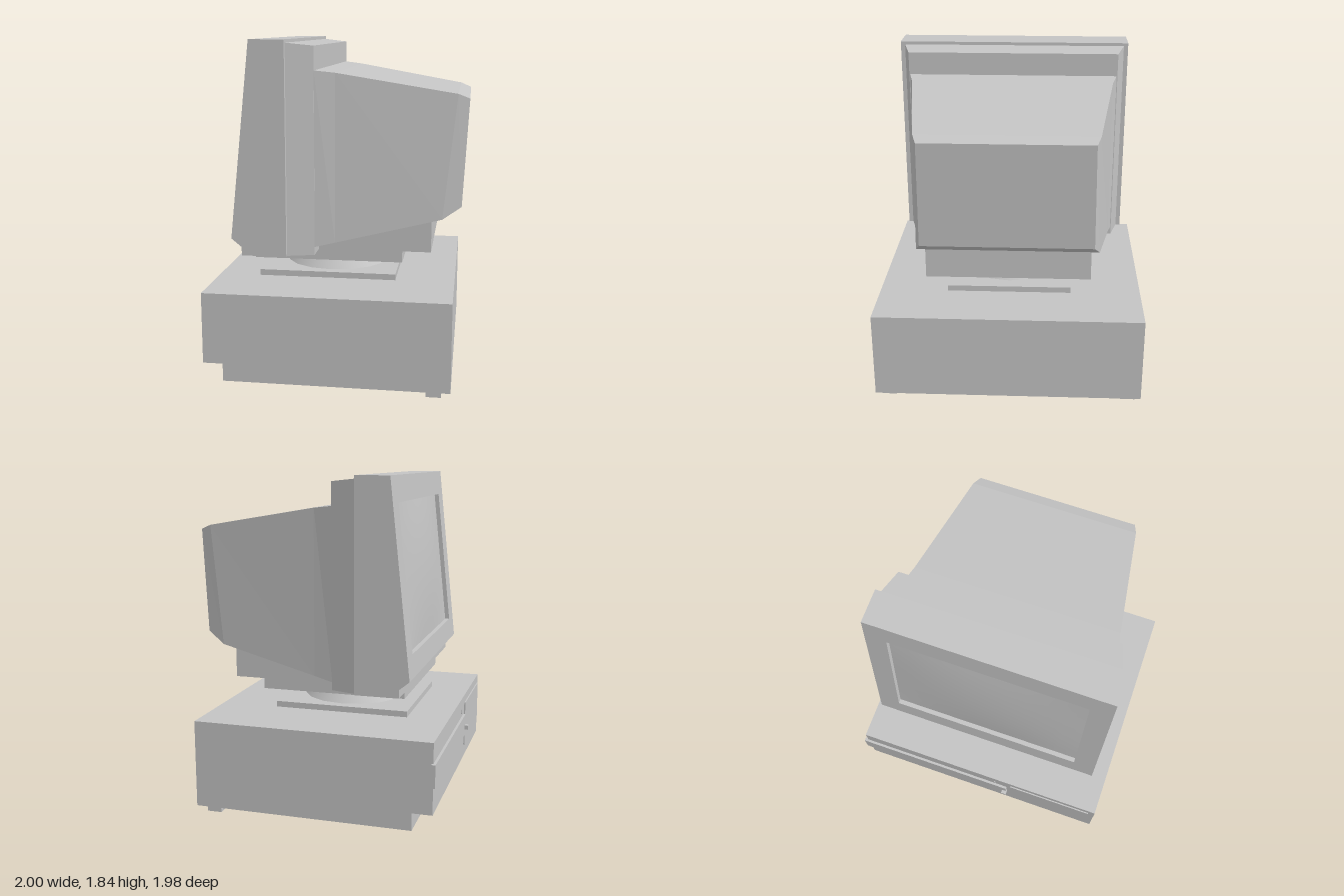
import * as THREE from 'three';

const casing = new THREE.MeshStandardMaterial({ color: 0xc4c4c4, side: THREE.DoubleSide });
casing.name = 'grey plastic';

const LEAN = 0.1063;   // how far the monitor face leans back per unit of height
const FACE_Z = 0.5;    // front of the monitor face at its lower edge
const FACE_Y = 0.8;

function add(parent, name, geometry) {
  const mesh = new THREE.Mesh(geometry, casing);
  mesh.name = name;
  parent.add(mesh);
  return mesh;
}

// Box given by its minimum and maximum corners
function box(parent, name, [x0, y0, z0], [x1, y1, z1]) {
  const mesh = add(parent, name, new THREE.BoxGeometry(x1 - x0, y1 - y0, z1 - z0));
  mesh.position.set((x0 + x1) / 2, (y0 + y1) / 2, (z0 + z1) / 2);
  return mesh;
}

// Side profile of [z, y] points, extruded across the width
function sideProfile(points, width) {
  const shape = new THREE.Shape(points.map(([z, y]) => new THREE.Vector2(z, y)));
  const g = new THREE.ExtrudeGeometry(shape, { depth: width, bevelEnabled: false });
  return g.translate(0, 0, -width / 2).rotateY(-Math.PI / 2);
}

// Four-cornered sections from front to back, closed at the rear.
// Each section: top [half width, y, z], bottom [half width, y, z]
function loft(sections) {
  const pos = [], idx = [];
  for (const [[tw, ty, tz], [bw, by, bz]] of sections) {
    pos.push(-tw, ty, tz, tw, ty, tz, bw, by, bz, -bw, by, bz);
  }
  const n = sections.length;
  for (let r = 0; r < n - 1; r++) {
    for (let i = 0; i < 4; i++) {
      const a = r * 4 + i, b = r * 4 + (i + 1) % 4;
      idx.push(a, b, b + 4, a, b + 4, a + 4);
    }
  }
  const e = (n - 1) * 4;
  idx.push(e, e + 1, e + 2, e, e + 2, e + 3);
  const g = new THREE.BufferGeometry();
  g.setAttribute('position', new THREE.Float32BufferAttribute(pos, 3));
  g.setIndex(idx);
  const flat = g.toNonIndexed();
  flat.computeVertexNormals();
  return flat;
}

// Move a geometry onto the leaning monitor face
function leanBack(g) {
  const p = g.attributes.position;
  for (let i = 0; i < p.count; i++) {
    p.setZ(i, p.getZ(i) + FACE_Z - LEAN * (p.getY(i) - FACE_Y));
  }
  g.computeVertexNormals();
  return g;
}

function createComputer() {
  const unit = new THREE.Group();
  unit.name = 'computerUnit';
  unit.rotation.y = THREE.MathUtils.degToRad(-47);
  unit.position.z = -0.005;

  // Case with a recessed plinth along the front
  const caseGroup = new THREE.Group();
  caseGroup.name = 'computerCase';
  unit.add(caseGroup);
  add(caseGroup, 'caseBody', sideProfile([
    [-0.67, 0.037], [0.54, 0.037], [0.54, 0.133], [0.648, 0.133], [0.648, 0.52], [-0.67, 0.52],
  ], 1.482));
  box(caseGroup, 'driveBand', [-0.76, 0.285, 0.64], [0.18, 0.41, 0.662]);
  box(caseGroup, 'drivePanel', [0.206, 0.207, 0.64], [0.705, 0.472, 0.655]);
  box(caseGroup, 'powerButton', [0.155, 0.32, 0.65], [0.185, 0.345, 0.682]);
  box(caseGroup, 'indicatorLight', [0.1, 0.43, 0.64], [0.108, 0.46, 0.652]);

  // Hollow square feet under the rear corners
  for (const side of [-1, 1]) {
    const foot = add(caseGroup, 'rearFoot',
      new THREE.CylinderGeometry(0.0573, 0.0573, 0.03, 4, 1, true).rotateY(Math.PI / 4).toNonIndexed());
    foot.geometry.computeVertexNormals();
    foot.position.set(side * 0.672, 0.015, -0.58);
  }

  // Swivel stand
  const stand = new THREE.Group();
  stand.name = 'monitorStand';
  unit.add(stand);
  box(stand, 'standBase', [-0.345, 0.52, -0.345], [0.355, 0.553, 0.42]);
  const cone = add(stand, 'swivelCone', new THREE.CylinderGeometry(0.22, 0.295, 0.092, 16));
  cone.position.set(0.005, 0.599, 0.025);
  box(stand, 'tiltPlate', [-0.42, 0.645, -0.388], [0.436, 0.71, 0.422]);

  // Monitor
  const monitor = new THREE.Group();
  monitor.name = 'monitor';
  unit.add(monitor);

  // Bezel body with a chamfered chin; its front is set back for the frame
  add(monitor, 'bezelBody', sideProfile([
    [0.205, 0.71], [0.445, 0.71], [0.445, 0.755], [FACE_Z, FACE_Y],
    [0.46, FACE_Y], [0.35, 1.837], [0.205, 1.837],
  ], 1.304));

  // Leaning frame around the screen opening
  const frame = new THREE.Shape([
    [-0.652, FACE_Y], [0.652, FACE_Y], [0.652, 1.837], [-0.652, 1.837],
  ].map(([x, y]) => new THREE.Vector2(x, y)));
  frame.holes.push(new THREE.Path([
    [-0.532, 0.92], [-0.532, 1.7], [0.532, 1.7], [0.532, 0.92],
  ].map(([x, y]) => new THREE.Vector2(x, y))));
  add(monitor, 'screenFrame', leanBack(
    new THREE.ExtrudeGeometry(frame, { depth: 0.04, bevelEnabled: false }).translate(0, 0, -0.04)));

  // Gently bulging screen
  const glass = new THREE.PlaneGeometry(1.064, 0.78, 10, 10);
  const p = glass.attributes.position;
  for (let i = 0; i < p.count; i++) {
    const u = p.getX(i) / 0.532, v = p.getY(i) / 0.39;
    p.setZ(i, -0.025 + 0.022 * (1 - u * u) * (1 - v * v));
  }
  add(monitor, 'screen', leanBack(glass.translate(0, 1.31, 0)));

  // Collar behind the bezel
  add(monitor, 'collar', loft([
    [[0.628, 1.82, 0.206], [0.628, 0.71, 0.206]],
    [[0.588, 1.805, 0.065], [0.588, 0.71, 0.065]],
  ]));

  // Tapering tube housing with a sloped underside and chamfered rear
  add(monitor, 'tubeHousing', loft([
    [[0.584, 1.68, 0.066], [0.584, 0.752, 0.066]],
    [[0.558, 1.668, -0.04], [0.565, 0.775, -0.04]],
    [[0.468, 1.56, -0.67], [0.487, 0.9, -0.6]],
    [[0.447, 1.535, -0.73], [0.455, 0.965, -0.7]],
  ]));
  box(monitor, 'monitorFootBox', [-0.447, 0.71, -0.543], [0.447, 0.9, 0.1]);
  return unit;
}

export function createModel() {
  const model = new THREE.Group();
  model.name = 'desktopComputer';
  model.add(createComputer());
  return model;
}
